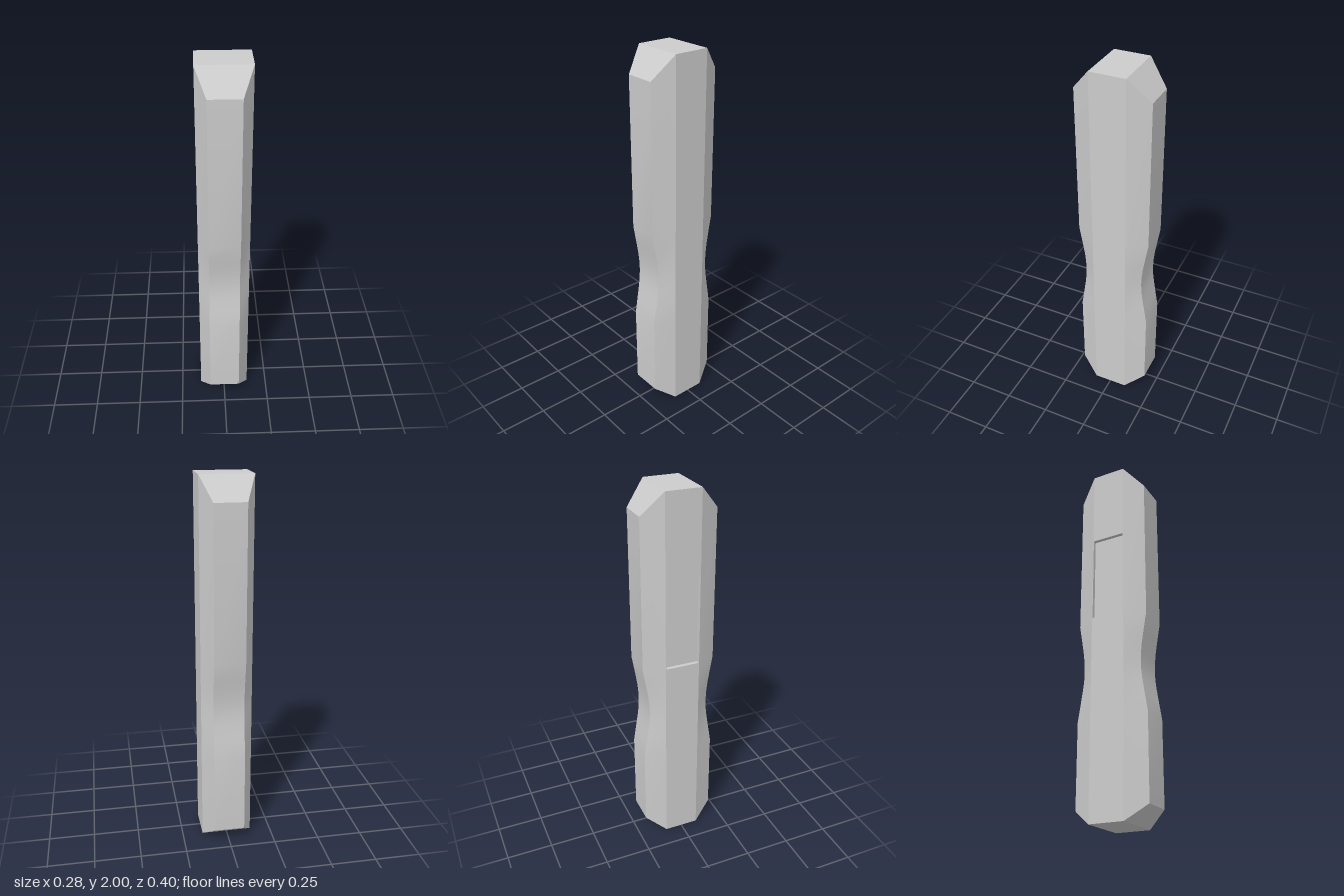
import * as THREE from 'three';
import { toCreasedNormals } from 'three/addons/utils/BufferGeometryUtils.js';

const H = 2;        // full height
const SX = 0.138;   // half width at the side panels
const SZ = 0.094;   // half depth of the side panels
const FX = 0.083;   // half width of the front and back faces
const FZ = 0.2;     // half depth at the front and back faces

// [height at the front edge, height at the side edge, half depth]
const ROWS = [
  [0.08, 0, FZ], [0.53, 0.53, FZ], [0.63, 0.63, 0.184], [0.7, 0.7, 0.173],
  [0.75, 0.75, 0.167], [0.8, 0.8, 0.165], [0.85, 0.85, 0.167], [0.9, 0.9, 0.172],
  [0.97, 0.97, 0.183], [1.07, 1.07, FZ], [1.88, H, FZ],
];

// Geometry from quads, corners counter-clockwise seen from outside
function quadGeometry(quads) {
  const pos = [];
  for (const [a, b, c, d] of quads) pos.push(...a, ...b, ...c, ...a, ...c, ...d);
  const g = new THREE.BufferGeometry();
  g.setAttribute('position', new THREE.Float32BufferAttribute(pos, 3));
  return toCreasedNormals(g, Math.PI / 9);
}

// Front or back: flat face, two chamfers and the sloped ends, with the grip waist
function faceQuads() {
  const quads = [];
  const line = ([y, ys, z]) => [[-SX, ys, SZ], [-FX, y, z], [FX, y, z], [SX, ys, SZ]];
  for (let i = 0; i < ROWS.length - 1; i++) {
    const lo = line(ROWS[i]), hi = line(ROWS[i + 1]);
    for (let k = 0; k < 3; k++) quads.push([lo[k], lo[k + 1], hi[k + 1], hi[k]]);
  }
  const top = line(ROWS[ROWS.length - 1]), bottom = line(ROWS[0]);
  quads.push([top[1], top[2], top[3], top[0]]);
  quads.push([bottom[0], bottom[3], bottom[2], bottom[1]]);
  return quads;
}

function rect(Type, x, y0, y1) {
  return new Type([[-x, y0], [x, y0], [x, y1], [-x, y1]].map(([a, b]) => new THREE.Vector2(a, b)));
}

export function createModel() {
  const group = new THREE.Group();
  const material = new THREE.MeshStandardMaterial({ color: 0xcccccc });
  const add = (name, geometry) => {
    const mesh = new THREE.Mesh(geometry, material);
    mesh.name = name;
    group.add(mesh);
    return mesh;
  };

  // Front and back shells
  const shell = quadGeometry(faceQuads());
  add('frontShell', shell);
  add('backShell', shell).rotation.y = Math.PI;

  // Flat ends
  for (const [name, y, s] of [['topCap', H, 1], ['bottomCap', 0, -1]]) {
    const cap = add(name, new THREE.PlaneGeometry(SX * 2, SZ * 2));
    cap.rotation.x = -s * Math.PI / 2;
    cap.position.y = y;
  }

  // Plain side panel
  const plain = add('leftPanel', new THREE.ShapeGeometry(rect(THREE.Shape, SZ, 0, H)));
  plain.rotation.y = Math.PI / 2;
  plain.position.x = SX;

  // Side panel with a shallow rectangular recess
  const rz = 0.091, y0 = 1.08, y1 = 1.56, depth = 0.02;
  const shape = rect(THREE.Shape, SZ, 0, H);
  shape.holes.push(rect(THREE.Path, rz, y0, y1));
  const panel = add('rightPanel', new THREE.ShapeGeometry(shape));
  const corners = [[-rz, y0], [rz, y0], [rz, y1], [-rz, y1]];
  const inner = corners.map(([x, y]) => [x, y, -depth]);
  const outer = corners.map(([x, y]) => [x, y, 0]);
  const walls = corners.map((_, i) => {
    const j = (i + 1) % 4;
    return [outer[i], outer[j], inner[j], inner[i]];
  });
  const recess = add('recess', quadGeometry([inner, ...walls]));
  for (const part of [panel, recess]) {
    part.rotation.y = -Math.PI / 2;
    part.position.x = -SX;
  }

  return group;
}
